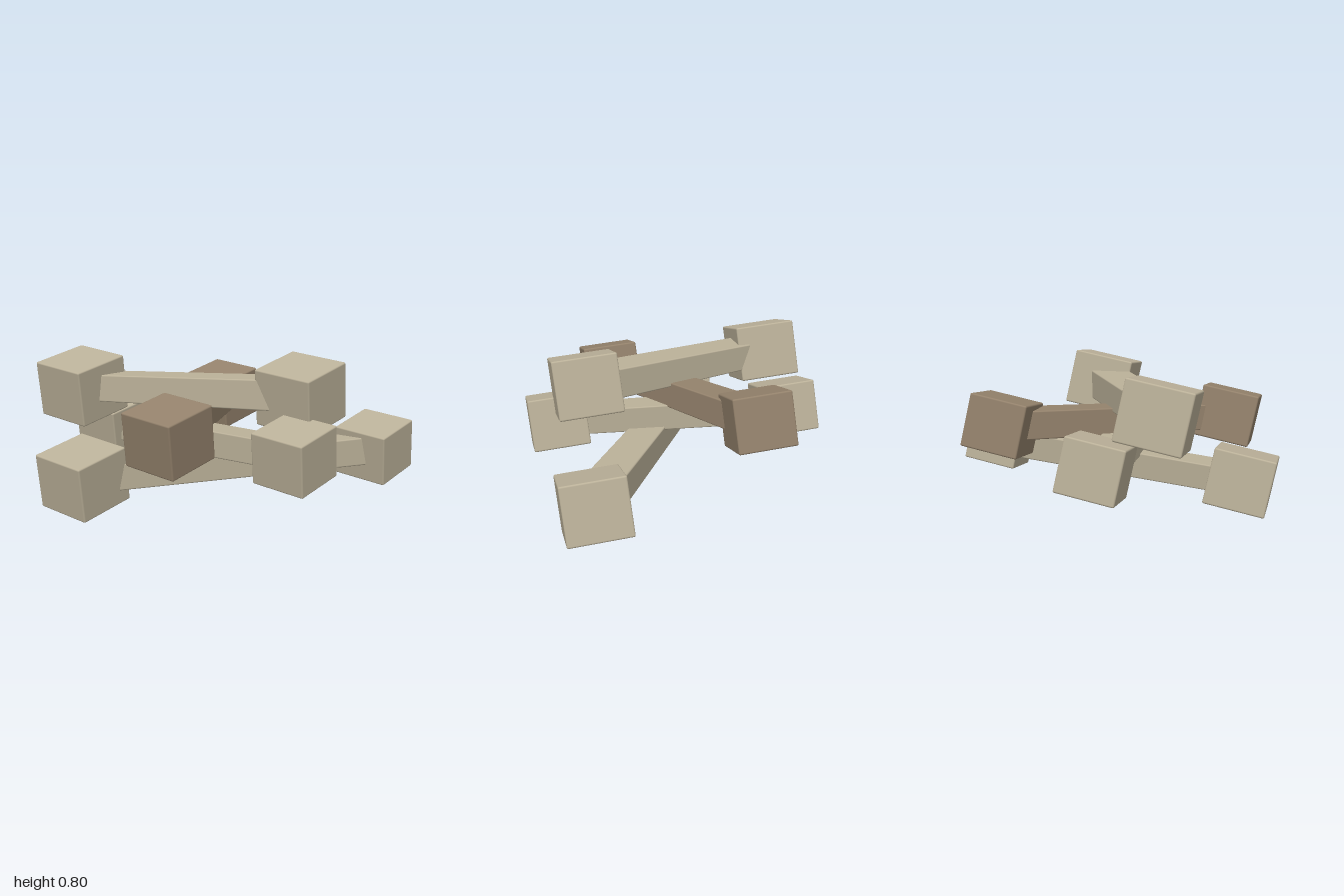
import * as THREE from 'three';
import { RoundedBoxGeometry } from 'three/addons/geometries/RoundedBoxGeometry.js';

const paleStone = new THREE.MeshStandardMaterial({ color: 0xbbb199 });
paleStone.name = 'pale stone';
const brownStone = new THREE.MeshStandardMaterial({ color: 0x94826c });
brownStone.name = 'brown stone';

// Each dumbbell: two block centres, block size, and bar [width, height] at either end
const dumbbells = [
  { name: 'lowestBar', a: [-0.207, 0.197, 0.8], b: [0.589, 0.198, -0.812], size: 0.33,
    endA: [0.19, 0.138], endB: [0.208, 0.166], material: paleStone },
  { name: 'lowerBar', a: [0.669, 0.327, 0.135], b: [-0.669, 0.327, 0.108], size: 0.317,
    endA: [0.178, 0.14], endB: [0.2, 0.155], material: paleStone },
  { name: 'brownBar', a: [0.285, 0.463, 0.675], b: [-0.328, 0.467, -0.495], size: 0.32,
    endA: [0.165, 0.142], endB: [0.195, 0.16], material: brownStone },
  { name: 'topBar', a: [-0.613, 0.597, 0.415], b: [0.532, 0.6, -0.113], size: 0.35,
    endA: [0.2, 0.147], endB: [0.22, 0.17], material: paleStone },
];

// Bevelled block; all blocks share one tilt
function block(name, position, size, material) {
  const mesh = new THREE.Mesh(new RoundedBoxGeometry(size, size * 0.91, size, 2, 0.009), material);
  mesh.name = name;
  mesh.position.set(...position);
  mesh.rotation.set(THREE.MathUtils.degToRad(11.4), 0, THREE.MathUtils.degToRad(-5.5), 'ZYX');
  return mesh;
}

// Tapered bevelled bar running from a to b
function bar(name, a, b, endA, endB, material) {
  const from = new THREE.Vector3(...a), to = new THREE.Vector3(...b);
  const length = from.distanceTo(to);
  const geometry = new RoundedBoxGeometry(endA[0], endA[1], length, 2, 0.007);
  const p = geometry.attributes.position;
  for (let i = 0; i < p.count; i++) {
    const t = p.getZ(i) / length + 0.5;
    p.setX(i, p.getX(i) * THREE.MathUtils.lerp(1, endB[0] / endA[0], t));
    p.setY(i, p.getY(i) * THREE.MathUtils.lerp(1, endB[1] / endA[1], t));
  }
  const mesh = new THREE.Mesh(geometry, material);
  mesh.name = name;
  mesh.position.copy(from).add(to).multiplyScalar(0.5);
  mesh.lookAt(to);
  return mesh;
}

export function createModel() {
  const model = new THREE.Group();
  model.name = 'stackedDumbbells';
  for (const d of dumbbells) {
    const group = new THREE.Group();
    group.name = d.name + 'Group';
    group.add(
      bar(d.name, d.a, d.b, d.endA, d.endB, d.material),
      block('frontBlock', d.a, d.size, d.material),
      block('backBlock', d.b, d.size, d.material),
    );
    model.add(group);
  }
  return model;
}
